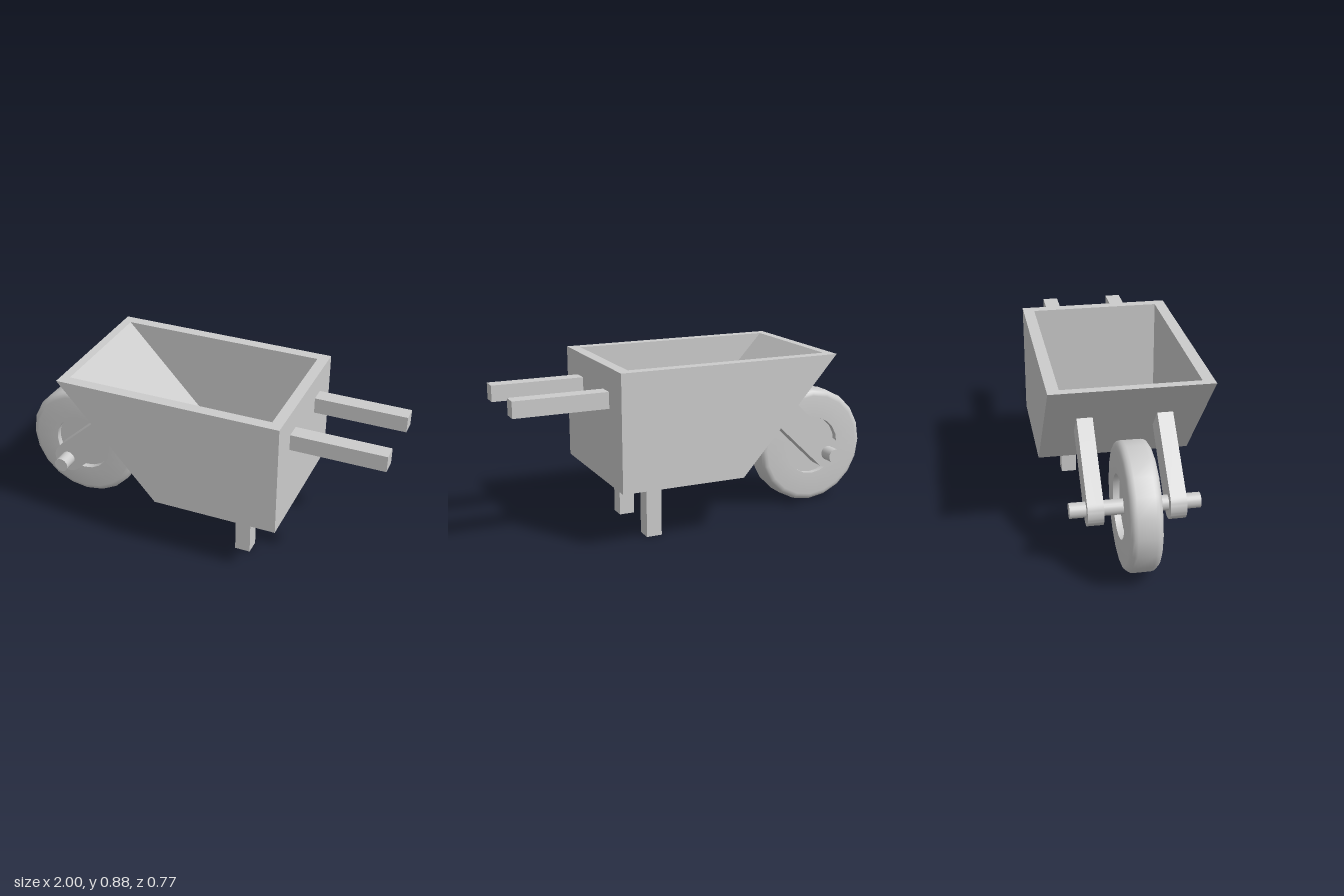
import * as THREE from 'three';
import { toCreasedNormals } from 'three/addons/utils/BufferGeometryUtils.js';

const material = new THREE.MeshStandardMaterial({ color: 0xcccccc });
const WHEEL_X = -0.69, WHEEL_Y = 0.313;

function part(parent, name, geometry, x = 0, y = 0, z = 0) {
  const mesh = new THREE.Mesh(geometry, material);
  mesh.name = name;
  mesh.position.set(x, y, z);
  parent.add(mesh);
  return mesh;
}

// Open tub: rectangular rings go up the outside, over the rim and down the inside
function tubGeometry() {
  const ring = (x0, x1, y, z) => [[x0, y, z], [x1, y, z], [x1, y, -z], [x0, y, -z]];
  const rings = [
    ring(-0.11, 0.53, 0.295, 0.387),
    ring(-0.625, 0.53, 0.875, 0.387),
    ring(-0.58, 0.475, 0.875, 0.33),
    ring(-0.06, 0.475, 0.315, 0.33),
  ];
  const positions = [];
  const quad = (a, b, c, d) => positions.push(...a, ...b, ...c, ...a, ...c, ...d);
  for (let i = 0; i < rings.length - 1; i++) {
    for (let k = 0; k < 4; k++) {
      const n = (k + 1) % 4;
      quad(rings[i][k], rings[i][n], rings[i + 1][n], rings[i + 1][k]);
    }
  }
  quad(...[...rings[0]].reverse()); // underside
  quad(...rings[3]); // inner floor
  const geometry = new THREE.BufferGeometry();
  geometry.setAttribute('position', new THREE.Float32BufferAttribute(positions, 3));
  geometry.computeVertexNormals();
  return geometry;
}

// Wheel with rounded tyre shoulders and a recessed hub disc on both sides
function wheelGeometry() {
  const radius = 0.31, half = 0.077, bevel = 0.035;
  const upper = [];
  for (let i = 0; i <= 4; i++) {
    const a = (i / 4) * Math.PI / 2;
    upper.push([radius - bevel + bevel * Math.cos(a), half - bevel + bevel * Math.sin(a)]);
  }
  upper.push([0.155, half], [0.155, 0.045], [0, 0.045]);
  const lower = upper.map(([r, y]) => [r, -y]).reverse();
  const profile = [...lower, ...upper].map(([r, y]) => new THREE.Vector2(r, y));
  return toCreasedNormals(new THREE.LatheGeometry(profile, 20).rotateX(Math.PI / 2), 0.7);
}

// Fork arm: round around the axle, cut along the slope of the tub
function armGeometry() {
  const r = 0.078, depth = 0.077;
  const shape = new THREE.Shape();
  shape.moveTo(0.36, 0.235);
  shape.lineTo(0.262, 0.345);
  shape.lineTo(-r * Math.SQRT1_2, r * Math.SQRT1_2);
  shape.absarc(0, 0, r, Math.PI * 0.75, Math.PI * 1.75, false);
  shape.closePath();
  const geometry = new THREE.ExtrudeGeometry(shape, { depth, bevelEnabled: false, curveSegments: 12 });
  return toCreasedNormals(geometry.translate(0, 0, -depth / 2), 0.6);
}

export function createModel() {
  const model = new THREE.Group();
  model.name = 'wheelbarrow';

  part(model, 'tub', tubGeometry());
  part(model, 'wheel', wheelGeometry(), WHEEL_X, WHEEL_Y);
  part(model, 'axle', new THREE.CylinderGeometry(0.037, 0.037, 0.62, 20).rotateX(Math.PI / 2), WHEEL_X, WHEEL_Y);

  // Paired parts on both sides
  const arm = armGeometry();
  const handle = new THREE.BoxGeometry(0.47, 0.082, 0.08);
  const leg = new THREE.BoxGeometry(0.08, 0.295, 0.08);
  for (const side of [1, -1]) {
    const label = side > 0 ? 'front' : 'back';
    part(model, label + 'ForkArm', arm, WHEEL_X, WHEEL_Y, side * 0.194);
    part(model, label + 'Handle', handle, 0.765, 0.716, side * 0.185);
    part(model, label + 'Leg', leg, 0.305, 0.1475, side * 0.185);
  }
  return model;
}
